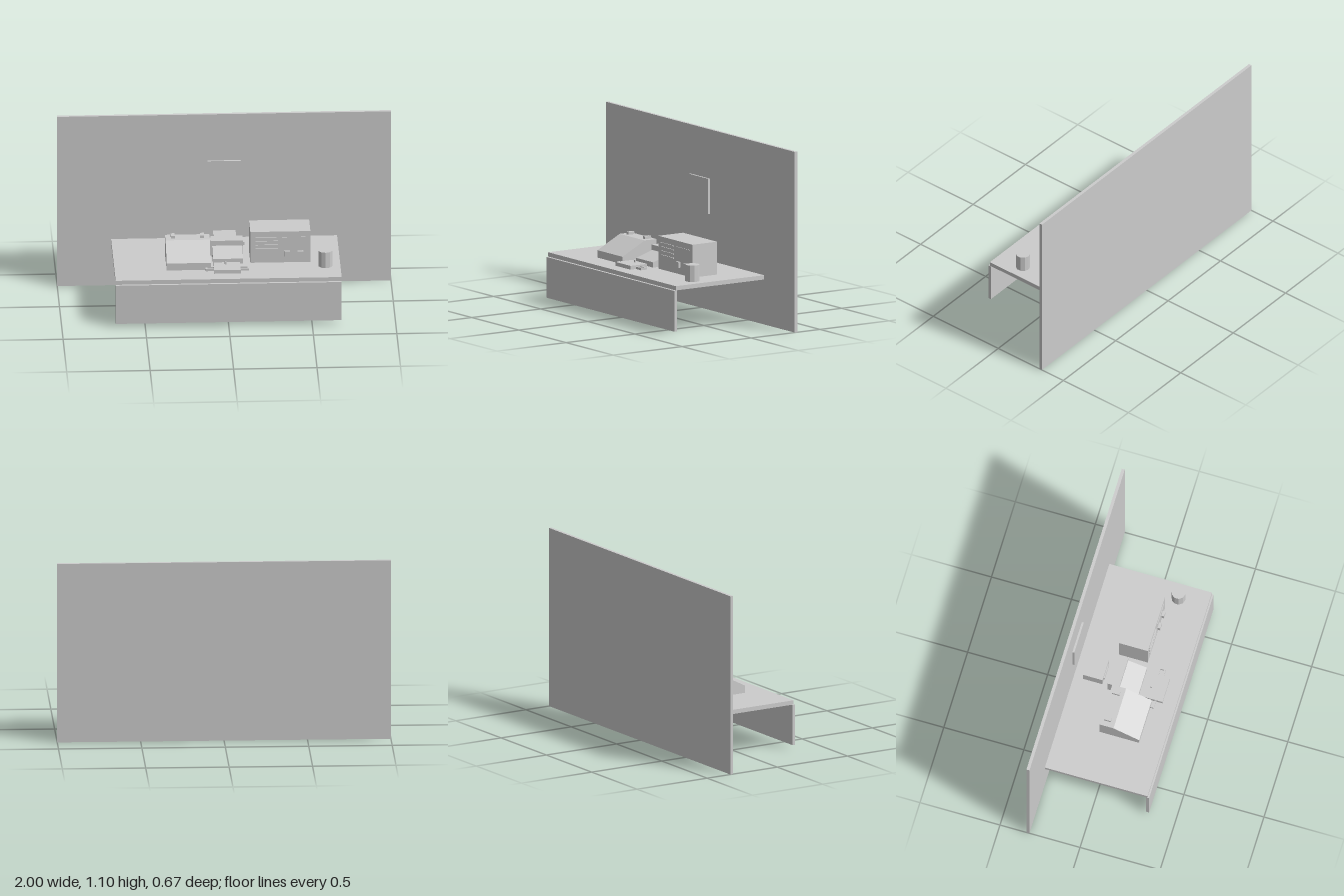
import * as THREE from 'three';

export function createModel() {
  const root = new THREE.Group();
  root.name = 'deskAndWall';
  const grey = new THREE.MeshStandardMaterial({ color: 0xcccccc, flatShading: true });
  grey.name = 'plain grey';

  function add(name, geometry, parent = root) {
    const mesh = new THREE.Mesh(geometry, grey);
    mesh.name = name;
    parent.add(mesh);
    return mesh;
  }
  // Box given by its lower and upper limits on each axis
  function box(name, [x0, x1], [y0, y1], [z0, z1], parent = root) {
    const mesh = add(name, new THREE.BoxGeometry(x1 - x0, y1 - y0, z1 - z0), parent);
    mesh.position.set((x0 + x1) / 2, (y0 + y1) / 2, (z0 + z1) / 2);
    return mesh;
  }
  // Side profile of [z, y] points swept along x
  function wedge(name, [x0, x1], profile, parent = root) {
    const shape = new THREE.Shape(profile.map(([z, y]) => new THREE.Vector2(-z, y)));
    const geometry = new THREE.ExtrudeGeometry(shape, { depth: x1 - x0, bevelEnabled: false });
    geometry.rotateY(Math.PI / 2).translate(x0, 0, 0);
    return add(name, geometry, parent);
  }
  function group(name) {
    const g = new THREE.Group();
    g.name = name;
    root.add(g);
    return g;
  }
  const top = 0.3;

  // Wall, picture and desk
  box('wall', [-1, 1], [0, 1.1], [-0.335, -0.316]);
  box('wallPicture', [-0.1, 0.1], [0.585, 0.8], [-0.317, -0.304]);
  box('deskTop', [-0.677, 0.677], [0.274, top], [-0.316, 0.325]);
  box('deskFrontPanel', [-0.677, 0.677], [0.024, 0.272], [0.317, 0.335]);

  // Cabinet with louvres and two knobs
  const cabinet = group('cabinet');
  box('cabinetBody', [0.14, 0.5], [top, 0.5], [-0.095, 0.084], cabinet);
  for (let i = 0; i < 4; i++) {
    const y = 0.385 + i * 0.025;
    box('louvre', [0.17, 0.305], [y, y + 0.006], [0.083, 0.09], cabinet);
  }
  box('labelStrip', [0.33, 0.47], [0.458, 0.464], [0.083, 0.088], cabinet);
  for (const x of [0.36, 0.44]) {
    box('cabinetKnob', [x - 0.017, x + 0.017], [0.342, 0.376], [0.083, 0.101], cabinet);
  }

  // Sloping console with two pegs
  const console_ = group('slopingConsole');
  wedge('consoleBody', [-0.365, -0.1],
    [[0.18, top], [-0.066, top], [-0.066, 0.428], [0.02, 0.428], [0.18, 0.345]], console_);
  for (const x of [-0.32, -0.145]) {
    box('consolePeg', [x - 0.012, x + 0.012], [0.426, 0.444], [-0.05, -0.006], console_);
  }

  // Small machine with rear carriage, sloped deck and side knob
  const machine = group('smallMachine');
  box('machineBack', [-0.092, 0.1], [top, 0.4], [-0.1, -0.025], machine);
  wedge('machineDeck', [-0.084, 0.096],
    [[0.092, top], [-0.03, top], [-0.03, 0.37], [0.092, 0.332]], machine);
  box('machineKnob', [0.098, 0.109], [0.367, 0.387], [-0.062, -0.032], machine);

  // Box at the back of the desk
  const rearBox = group('rearBox');
  box('rearBoxBody', [-0.07, 0.066], [top, 0.37], [-0.257, -0.137], rearBox);
  box('rearBoxLabel', [-0.045, 0.045], [0.318, 0.343], [-0.138, -0.131], rearBox);

  // Low tray with a looped handle at each end
  const tray = group('tray');
  box('trayBody', [-0.084, 0.076], [top, 0.323], [0.122, 0.242], tray);
  box('trayStud', [-0.016, -0.006], [0.322, 0.338], [0.145, 0.155], tray);
  for (const [inner, outer] of [[-0.084, -0.132], [0.076, 0.128]]) {
    const s = Math.sign(outer);
    const span = (a, b) => [Math.min(a, b), Math.max(a, b)];
    for (const z of [0.16, 0.192]) {
      box('handleArm', span(inner - s * 0.002, outer), [top, 0.314], [z, z + 0.01], tray);
    }
    box('handleGrip', span(outer - s * 0.01, outer), [top, 0.314], [0.17, 0.192], tray);
  }

  // Cup
  const cup = add('cup', new THREE.CylinderGeometry(0.043, 0.043, 0.1, 10));
  cup.position.set(0.587, top + 0.05, 0.143);

  return root;
}
